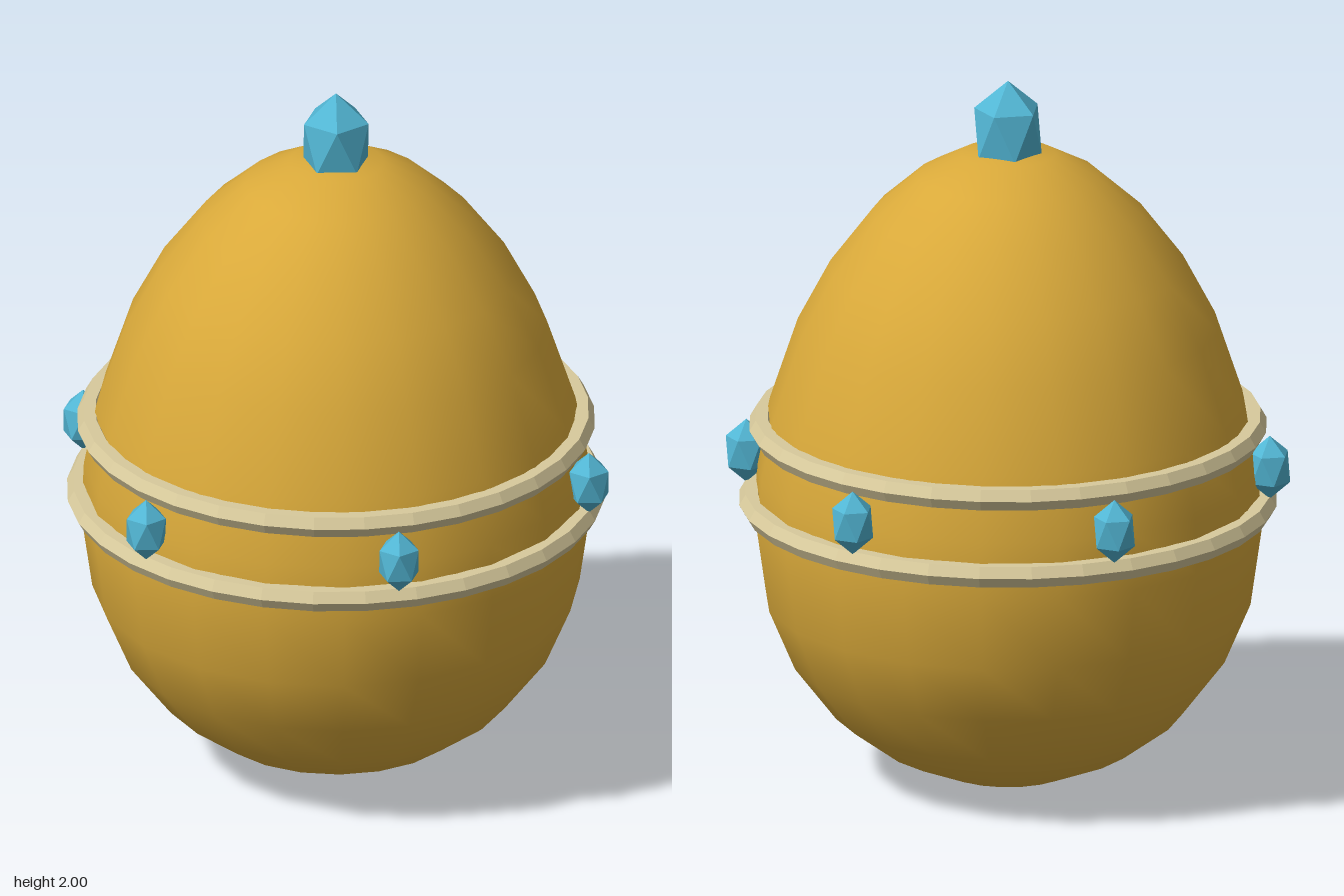
import * as THREE from 'three';

const gold = new THREE.MeshStandardMaterial({ name: 'gold', color: 0xd9a93a });
const cream = new THREE.MeshStandardMaterial({ name: 'cream', color: 0xd8ca9c });
const blue = new THREE.MeshStandardMaterial({ name: 'gemBlue', color: 0x52b6d4 });

// Unshared corners give every facet its own flat normal
function faceted(geometry) {
  const flat = geometry.index ? geometry.toNonIndexed() : geometry;
  flat.computeVertexNormals();
  return flat;
}

// Icosahedron standing on a vertex, stretched upwards
function makeGem(name, radius, height, x, y, z) {
  const geometry = new THREE.IcosahedronGeometry(1, 0);
  geometry.rotateZ(-Math.atan(2 / (1 + Math.sqrt(5))));
  geometry.scale(radius, height / 2, radius);
  const gem = new THREE.Mesh(faceted(geometry), blue);
  gem.name = name;
  gem.position.set(x, y, z);
  return gem;
}

// Horizontal band with a six-sided section
function makeBand(name, radius, y) {
  const geometry = new THREE.TorusGeometry(radius, 0.034, 6, 32);
  geometry.rotateX(Math.PI / 2);
  const band = new THREE.Mesh(faceted(geometry), cream);
  band.name = name;
  band.position.y = y;
  return band;
}

export function createModel() {
  const model = new THREE.Group();
  model.name = 'jewelledEgg';

  // Egg body, profile from bottom to top
  const profile = [
    [0, 0.005], [0.18, 0.03], [0.345, 0.1], [0.48, 0.2], [0.595, 0.35],
    [0.667, 0.52], [0.697, 0.73], [0.69, 0.89], [0.655, 1.07], [0.578, 1.3],
    [0.488, 1.47], [0.37, 1.625], [0.25, 1.73], [0.13, 1.793], [0, 1.803],
  ].map(([r, y]) => new THREE.Vector2(r, y));
  const egg = new THREE.Mesh(new THREE.LatheGeometry(profile, 20), gold);
  egg.name = 'eggBody';
  model.add(egg);

  // Two bands around the waist
  model.add(makeBand('upperBand', 0.676, 1.015), makeBand('lowerBand', 0.704, 0.803));

  // Six gems between the bands
  for (let i = 0; i < 6; i++) {
    const a = (i * Math.PI) / 3;
    model.add(makeGem('bandGem' + (i + 1), 0.063, 0.18, 0.72 * Math.cos(a), 0.916, 0.72 * Math.sin(a)));
  }

  // Large gem on top
  model.add(makeGem('topGem', 0.104, 0.29, 0, 1.855, 0));
  return model;
}
